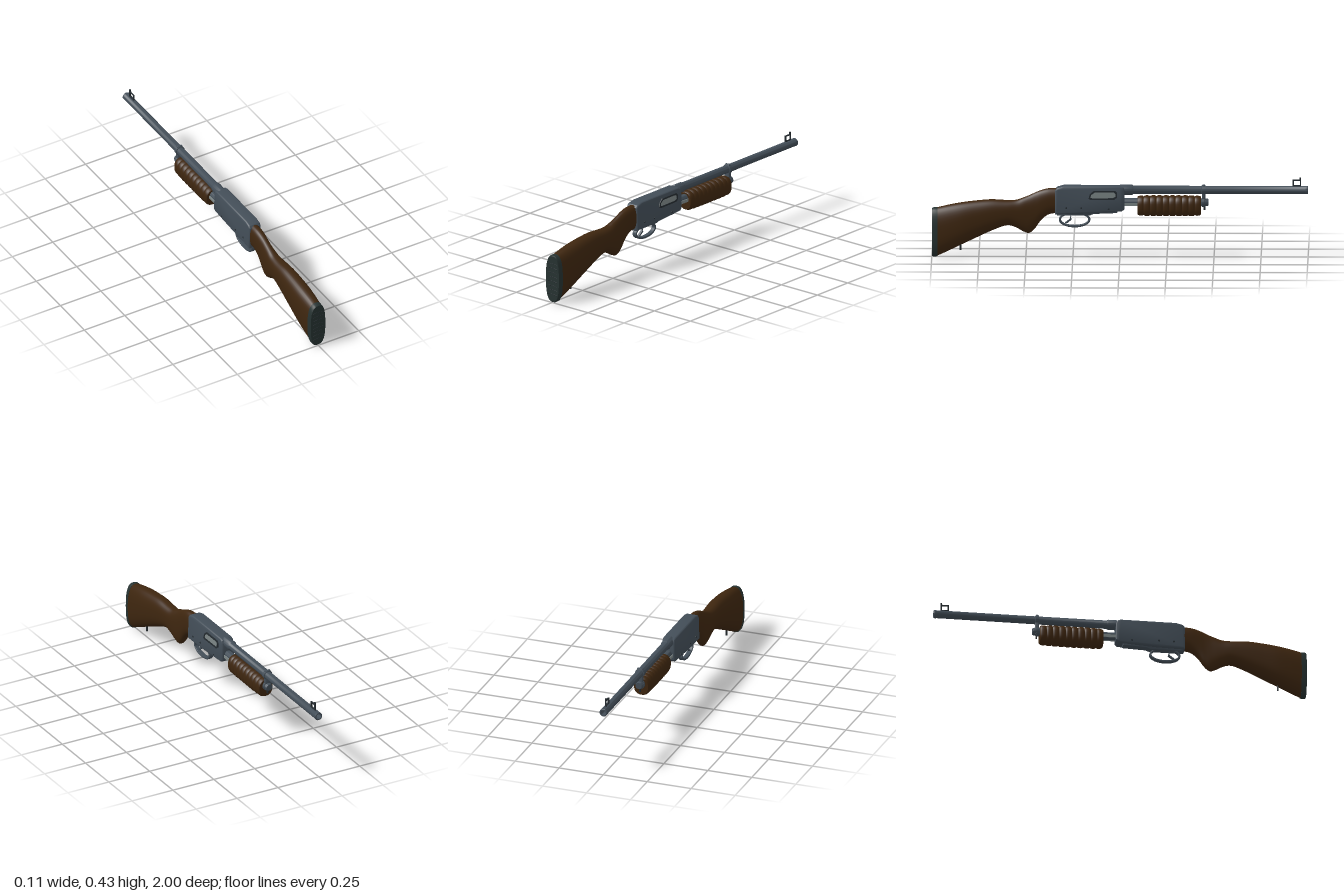
import * as THREE from 'three';
import { toCreasedNormals } from 'three/addons/utils/BufferGeometryUtils.js';

const mat = (name, color, side = THREE.FrontSide) => {
  const m = new THREE.MeshStandardMaterial({ color, side });
  m.name = name;
  return m;
};

// Closed loft through rounded sections { z, yb, yt, w, e }, ordered by rising z
function loft(sections, n = 32) {
  const pos = [], idx = [];
  const ring = (s) => {
    const start = pos.length / 3;
    for (let j = 0; j < n; j++) {
      const a = (j / n) * Math.PI * 2, c = Math.cos(a), d = Math.sin(a);
      const p = (v) => Math.sign(v) * Math.abs(v) ** s.e;
      pos.push(s.w * p(c), (s.yb + s.yt) / 2 + ((s.yt - s.yb) / 2) * p(d), s.z);
    }
    return start;
  };
  const rings = sections.map(ring);
  for (let i = 0; i < rings.length - 1; i++) {
    for (let j = 0; j < n; j++) {
      const k = (j + 1) % n, a = rings[i], b = rings[i + 1];
      idx.push(a + j, a + k, b + k, a + j, b + k, b + j);
    }
  }
  [sections[0], sections[sections.length - 1]].forEach((s, end) => {
    const r = ring(s), centre = pos.length / 3;
    pos.push(0, (s.yb + s.yt) / 2, s.z);
    for (let j = 0; j < n; j++) {
      const k = (j + 1) % n;
      if (end) idx.push(centre, r + j, r + k);
      else idx.push(centre, r + k, r + j);
    }
  });
  const g = new THREE.BufferGeometry();
  g.setAttribute('position', new THREE.Float32BufferAttribute(pos, 3));
  g.setIndex(idx);
  g.computeVertexNormals();
  return g;
}

// Side outline in (z, y), extruded across x and centred on x
function plate(points, width, bevel = 0, hole = null) {
  const toV = (p) => new THREE.Vector2(p[0], p[1]);
  const shape = new THREE.Shape(points.map(toV));
  if (hole) shape.holes.push(new THREE.Path(hole.map(toV)));
  const depth = width - 2 * bevel;
  const g = new THREE.ExtrudeGeometry(shape, {
    depth, bevelEnabled: bevel > 0, bevelSize: bevel, bevelThickness: bevel,
    bevelOffset: -bevel, bevelSegments: 4,
  });
  g.translate(0, 0, -depth / 2);
  g.rotateY(-Math.PI / 2);
  return toCreasedNormals(g, 0.6);
}

// Narrow the upper part of the receiver towards its top
function taper(g) {
  const p = g.attributes.position;
  for (let i = 0; i < p.count; i++) {
    const t = Math.max(0, p.getY(i) - 0.3) / 0.083;
    p.setX(i, p.getX(i) * (1 - 0.13 * t));
  }
  return g;
}

// Turned part along z: profile of [radius, distance towards the muzzle]
function turned(profile, y) {
  const g = new THREE.LatheGeometry(profile.map((p) => new THREE.Vector2(p[0], p[1])), 32);
  g.rotateX(-Math.PI / 2);
  g.translate(0, y, 0);
  return toCreasedNormals(g, 0.6);
}

const ellipse = (cz, cy, rz, ry, n = 36) => Array.from({ length: n }, (_, i) => {
  const a = (i / n) * Math.PI * 2;
  return [cz + rz * Math.cos(a), cy + ry * Math.sin(a)];
});

export function createModel() {
  const root = new THREE.Group();
  const steel = mat('blued steel', 0x434e58);
  const dark = mat('dark steel', 0x252c31);
  const bright = mat('bare steel', 0x7d8787);
  const wood = mat('walnut', 0x3e260f);
  const rubber = mat('rubber', 0x263231);
  const add = (name, geometry, material) => {
    const m = new THREE.Mesh(geometry, material);
    m.name = name;
    root.add(m);
    return m;
  };

  // Stock: z, bottom, top, half width
  const stations = [
    [0.335, 0.236, 0.37, 0.033], [0.38, 0.228, 0.368, 0.032], [0.42, 0.196, 0.358, 0.031],
    [0.452, 0.152, 0.345, 0.031], [0.482, 0.128, 0.331, 0.033], [0.515, 0.137, 0.318, 0.036],
    [0.55, 0.157, 0.306, 0.039], [0.6, 0.17, 0.304, 0.043], [0.68, 0.142, 0.308, 0.048],
    [0.76, 0.105, 0.302, 0.052], [0.84, 0.067, 0.292, 0.055], [0.91, 0.033, 0.279, 0.053],
    [0.97, 0.005, 0.265, 0.049],
  ];
  const low = new THREE.SplineCurve(stations.map((s) => new THREE.Vector2(s[0], s[1])));
  const high = new THREE.SplineCurve(stations.map((s) => new THREE.Vector2(s[2], s[3])));
  const stock = [];
  for (let i = 0; i <= 60; i++) {
    const a = low.getPoint(i / 60), b = high.getPoint(i / 60);
    stock.push({ z: a.x, yb: a.y, yt: b.x, w: b.y, e: 0.82 });
  }
  add('stock', loft(stock, 40), wood);

  // Butt pad with shallow curved ridges
  add('buttPad', loft([
    { z: 0.97, yb: 0.002, yt: 0.265, w: 0.049, e: 0.75 },
    { z: 0.992, yb: 0, yt: 0.264, w: 0.048, e: 0.75 },
    { z: 0.998, yb: 0.004, yt: 0.26, w: 0.045, e: 0.75 },
  ], 40), rubber);
  for (let i = 0; i < 8; i++) {
    const y = 0.043 + i * 0.0245;
    const curve = new THREE.QuadraticBezierCurve3(
      new THREE.Vector3(-0.032, y, 0.998), new THREE.Vector3(0, y + 0.008, 0.998),
      new THREE.Vector3(0.032, y, 0.998));
    add('padRidge', new THREE.TubeGeometry(curve, 10, 0.0015, 6), dark);
  }

  // Receiver and the narrower trigger plate below it
  add('receiver', taper(plate([
    [0.345, 0.233], [0.345, 0.36], [0.335, 0.373], [0.3, 0.383], [0.0, 0.383],
    [-0.018, 0.377], [-0.025, 0.36], [-0.025, 0.262], [-0.012, 0.25], [0.1, 0.242], [0.2, 0.236],
  ], 0.08, 0.01)), steel);
  add('triggerPlate', plate([
    [0.335, 0.245], [0.335, 0.225], [0.16, 0.225], [0.14, 0.233], [0.015, 0.238], [0.01, 0.26],
  ], 0.044, 0.004), steel);

  // Ejection port with the bolt showing through, on the left side
  const port = [[0.167, 0.318], [0.16, 0.342], [0.14, 0.36], [0.026, 0.361], [0.015, 0.35],
    [0.015, 0.325], [0.03, 0.314], [0.155, 0.312]];
  const opening = port.map(([z, y]) => [0.09 + (z - 0.09) * 0.88, 0.337 + (y - 0.337) * 0.65]);
  add('ejectionPort', taper(plate(port, 0.008, 0, opening).translate(0.041, 0, 0)), dark);
  add('bolt', taper(plate(opening, 0.006).translate(0.039, 0, 0)), bright);

  // Cross pins
  for (const [z, y] of [[0.285, 0.268], [0.205, 0.268], [0.06, 0.262]]) {
    const pin = new THREE.CylinderGeometry(0.005, 0.005, 0.082, 16);
    pin.rotateZ(Math.PI / 2);
    add('pin', pin.translate(0, y, z), dark);
  }

  // Trigger guard and trigger
  add('triggerGuard', plate(ellipse(0.241, 0.2, 0.084, 0.041), 0.024, 0.002,
    ellipse(0.241, 0.201, 0.073, 0.031)), steel);
  add('trigger', plate([[0.25, 0.235], [0.265, 0.205], [0.29, 0.186], [0.293, 0.18],
    [0.278, 0.183], [0.257, 0.2], [0.268, 0.235]].reverse(), 0.012), steel);

  // Barrel with hollow muzzle and a collar at the receiver
  add('barrel', turned([[0.027, 0], [0.027, 0.065], [0.0225, 0.072], [0.021, 0.6], [0.021, 0.985],
    [0.022, 0.987], [0.022, 0.998], [0.02, 1], [0.015, 1], [0.015, 0.86], [0, 0.86]], 0.361), steel);

  // Magazine tube, its cap and the action bars
  add('magazineTube', turned([[0.021, 0], [0.021, 0.44], [0, 0.44]], 0.294), steel);
  add('magazineCap', turned([[0.021, 0.43], [0.021, 0.462], [0.018, 0.47], [0, 0.47]], 0.294), steel);
  for (const side of [-1, 1]) {
    add('actionBar', new THREE.BoxGeometry(0.005, 0.016, 0.12).translate(side * 0.024, 0.286, -0.05), bright);
  }

  // Ribbed pump grip
  const grip = [], ribs = 10, length = 0.34;
  for (let i = 0; i < ribs; i++) {
    for (const [t, s] of [[0.02, 0.91], [0.14, 0.97], [0.35, 1], [0.65, 1], [0.86, 0.97], [0.98, 0.91]]) {
      const u = (i + t) / ribs;
      const k = s * (1 - 0.09 * Math.abs(2 * u - 1) ** 6);
      grip.push({ z: -0.432 + u * length, yb: 0.276 - 0.056 * k, yt: 0.276 + 0.055 * k, w: 0.047 * k, e: 0.82 });
    }
  }
  add('pumpGrip', loft(grip, 36), wood);

  // Band joining barrel and magazine tube
  add('barrelBand', plate([[-0.435, 0.275], [-0.435, 0.38], [-0.44, 0.388], [-0.45, 0.388],
    [-0.455, 0.38], [-0.455, 0.275]], 0.032, 0.003), steel);
  add('bandRing', turned([[0.02, 0.434], [0.026, 0.436], [0.026, 0.454], [0.02, 0.456]], 0.361), steel);
  add('bandLowerRing', turned([[0.02, 0.434], [0.025, 0.436], [0.025, 0.45], [0.02, 0.452]], 0.294), steel);

  // Sling studs
  add('frontStud', new THREE.CylinderGeometry(0.005, 0.005, 0.03, 12).translate(0, 0.268, -0.449), dark);
  add('rearStud', new THREE.CylinderGeometry(0.005, 0.005, 0.04, 12).translate(0, 0.056, 0.848), dark);

  // Front sight: open frame with a taller post
  add('frontSight', plate([[-0.918, 0.375], [-0.918, 0.417], [-0.955, 0.417], [-0.955, 0.428],
    [-0.963, 0.428], [-0.963, 0.375]], 0.007, 0,
  [[-0.924, 0.387], [-0.924, 0.411], [-0.956, 0.411], [-0.956, 0.387]]), dark);

  return root;
}
